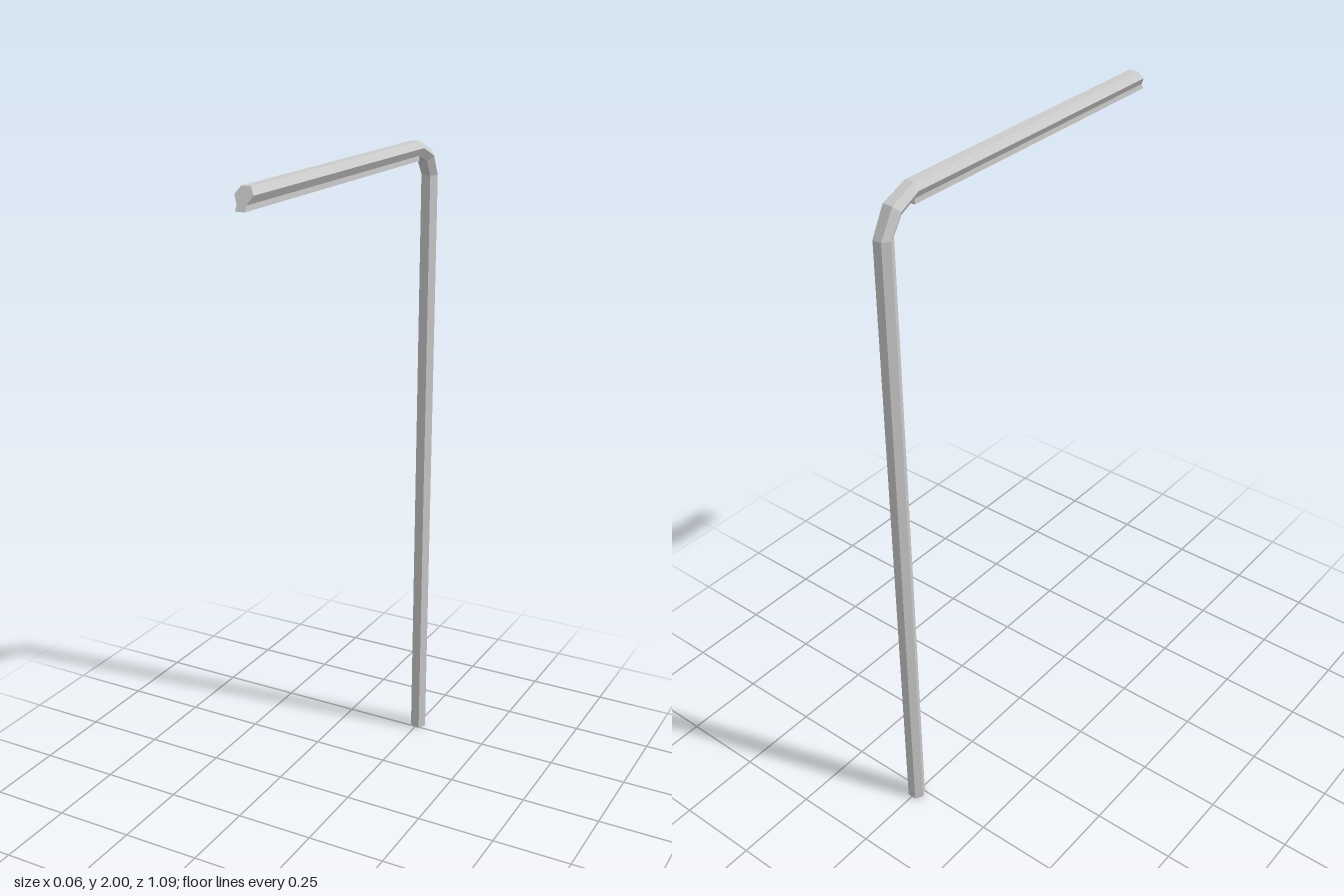
import * as THREE from 'three';

const material = new THREE.MeshStandardMaterial({ color: 0xcccccc, flatShading: true });

// Six-sided ring: flat-to-flat axis runs from the outer point to the inner point [z, y]
function hexRing(outer, inner, halfWidth) {
  const at = (x, t) => [x, THREE.MathUtils.lerp(outer[1], inner[1], t), THREE.MathUtils.lerp(outer[0], inner[0], t)];
  const w = halfWidth, f = halfWidth / 2;
  return [at(-f, 0), at(f, 0), at(w, 0.47), at(f, 1), at(-f, 1), at(-w, 0.47)];
}

// Skin consecutive rings and close both ends
function loft(rings) {
  const pos = [], n = rings[0].length;
  const tri = (a, b, c) => pos.push(...a, ...b, ...c);
  for (let r = 0; r < rings.length - 1; r++) {
    const A = rings[r], B = rings[r + 1];
    for (let i = 0; i < n; i++) {
      const j = (i + 1) % n;
      tri(A[i], B[j], A[j]);
      tri(A[i], B[i], B[j]);
    }
  }
  const first = rings[0], last = rings[rings.length - 1];
  for (let i = 1; i < n - 1; i++) {
    tri(first[0], first[i], first[i + 1]);
    tri(last[0], last[i + 1], last[i]);
  }
  const geometry = new THREE.BufferGeometry();
  geometry.setAttribute('position', new THREE.Float32BufferAttribute(pos, 3));
  geometry.computeVertexNormals();
  return geometry;
}

export function createModel() {
  const group = new THREE.Group();
  const add = (name, geometry) => {
    const mesh = new THREE.Mesh(geometry, material);
    mesh.name = name;
    group.add(mesh);
  };

  // Upright post, two-step bend and horizontal arm with a raked tip
  add('postAndArm', loft([
    hexRing([-0.542, 0], [-0.497, 0], 0.027),
    hexRing([-0.542, 1.89], [-0.497, 1.89], 0.027),
    hexRing([-0.499, 1.967], [-0.47, 1.935], 0.03),
    hexRing([-0.42, 2], [-0.42, 1.958], 0.027),
    hexRing([0.513, 2], [0.536, 1.958], 0.027),
  ]));

  // Narrow strip hanging under the arm, its tip following the same rake
  const section = (zTop, zBottom) => [
    [-0.0135, 1.962, zTop], [0.0135, 1.962, zTop],
    [0.0135, 1.943, zBottom], [-0.0135, 1.943, zBottom],
  ];
  add('underStrip', loft([section(-0.42, -0.42), section(0.534, 0.544)]));

  return group;
}
